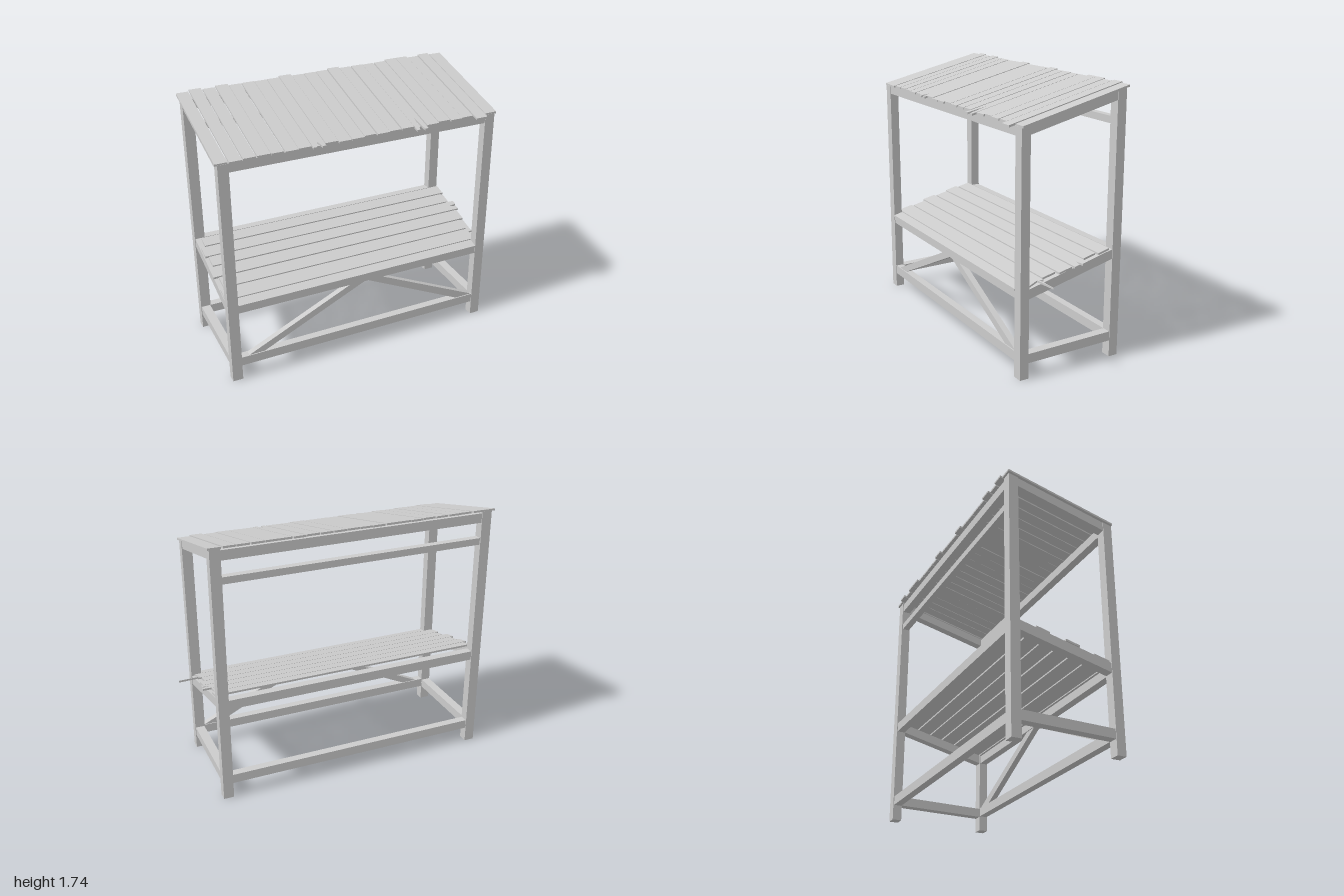
import * as THREE from 'three';

const SLOPE = 0.24; // rise towards the back, shared by roof and shelf
const XL = -0.95, XR = 0.855, HALF = 0.034; // post centres and half width
const INL = XL + HALF, INR = XR - HALF;
const FRONT = [0.295, 0.355], BACK = [-0.373, -0.31];

export function createModel() {
  const model = new THREE.Group();
  const mat = new THREE.MeshStandardMaterial({ color: 0xcccccc, flatShading: true });

  const add = (name, geo, parent = model) => {
    const mesh = new THREE.Mesh(geo, mat);
    mesh.name = name;
    parent.add(mesh);
    return mesh;
  };
  const shapeOf = (pts) => new THREE.Shape(pts.map(([a, b]) => new THREE.Vector2(a, b)));

  // Straight timber given by its limits
  const beam = (name, x0, x1, y0, y1, z0, z1) => {
    const g = new THREE.BoxGeometry(x1 - x0, y1 - y0, z1 - z0);
    g.translate((x0 + x1) / 2, (y0 + y1) / 2, (z0 + z1) / 2);
    return add(name, g);
  };
  // Side profile of [z, y] points extruded from x0 to x1
  const sideProfile = (name, x0, x1, pts) => {
    const g = new THREE.ExtrudeGeometry(shapeOf(pts.map(([z, y]) => [-z, y])), { depth: x1 - x0, bevelEnabled: false });
    g.rotateY(Math.PI / 2);
    g.translate(x0, 0, 0);
    return add(name, g);
  };
  // Plank from a plan outline of [x, z] points, sheared to follow the slope
  const plank = (name, pts, y, thick, parent) => {
    const g = new THREE.ExtrudeGeometry(shapeOf(pts.map(([x, z]) => [x, -z])), { depth: thick, bevelEnabled: false });
    g.rotateX(-Math.PI / 2);
    const p = g.attributes.position;
    for (let i = 0; i < p.count; i++) p.setY(i, p.getY(i) + y - SLOPE * p.getZ(i));
    g.computeVertexNormals();
    return add(name, g, parent);
  };

  // Posts with sloped tops, and the rails joining front to back
  const roofUnder = (z) => 1.633 - SLOPE * z;
  for (const [side, cx] of [['right', XL], ['left', XR]]) {
    const x0 = cx - HALF, x1 = cx + HALF;
    for (const [end, [z0, z1]] of [['Front', FRONT], ['Back', BACK]]) {
      sideProfile(side + end + 'Post', x0, x1, [[z0, 0], [z1, 0], [z1, roofUnder(z1)], [z0, roofUnder(z0)]]);
    }
    const zf = FRONT[0], zb = BACK[1];
    for (const [name, top] of [['RoofRail', 1.633], ['ShelfRail', 0.645]]) {
      sideProfile(side + name, x0 + 0.004, x1 - 0.004, [
        [zf, top - 0.062 - SLOPE * zf], [zf, top - SLOPE * zf],
        [zb, top - SLOPE * zb], [zb, top - 0.062 - SLOPE * zb]]);
    }
    sideProfile(side + 'BottomRail', x0 + 0.004, x1 - 0.004, [[zf, 0.1], [zf, 0.16], [zb, 0.17], [zb, 0.108]]);
  }

  // Long rails
  beam('frontRoofRail', INL, INR, 1.49, 1.55, 0.298, 0.351);
  beam('backRoofRail', INL, INR, 1.645, 1.708, -0.368, -0.315);
  beam('backHangingRail', INL, INR, 1.495, 1.54, -0.365, -0.318);
  beam('frontShelfRail', INL, INR, 0.51, 0.565, 0.298, 0.351);
  beam('backShelfRail', INL, INR, 0.655, 0.718, -0.368, -0.315);
  beam('frontBottomRail', INL, INR, 0.104, 0.166, 0.298, 0.351);
  beam('backBottomRail', INL, INR, 0.104, 0.166, -0.368, -0.315);

  // Diagonal front braces
  const braces = [
    ['rightBrace', [[-0.865, 0.164], [-0.76, 0.164], [-0.018, 0.512], [-0.126, 0.512]]],
    ['leftBrace', [[0.82, 0.166], [0.088, 0.512], [-0.018, 0.512], [0.7, 0.164]]],
  ];
  for (const [name, pts] of braces) {
    const g = new THREE.ExtrudeGeometry(shapeOf(pts), { depth: 0.04, bevelEnabled: false });
    g.translate(0, 0, 0.304);
    add(name, g);
  }

  // Roof planks: uneven ends, two of them split at the front
  const roof = new THREE.Group();
  roof.name = 'roof';
  model.add(roof);
  const longBack = [1, 3, 8, 12, 17, 18, 20];
  const frontEnds = { 1: 0.362, 5: 0.362, 7: 0.372, 9: 0.362, 10: 0.362, 12: 0.362, 15: 0.39, 16: 0.362, 18: 0.362, 20: 0.392 };
  const splits = { 7: 0.325, 15: 0.27 };
  const wideGap = [0, 1, 2, 4, 11, 13, 15, 19, 20];
  const count = 22, pitch = 1.905 / count;
  for (let i = 0; i < count; i++) {
    const x0 = -1 + i * pitch, x1 = x0 + pitch - (wideGap.includes(i) ? 0.008 : 0.003);
    const zb = longBack.includes(i) ? -0.397 : -0.384, zf = frontEnds[i] ?? 0.354;
    const c = (x0 + x1) / 2;
    const notch = i in splits
      ? [[c + 0.018, zf], [c + 0.012, zf - 0.02], [c + 0.002, splits[i]], [c - 0.014, zf - 0.015], [c - 0.018, zf]] : [];
    const lift = longBack.includes(i) ? 0.003 : (i % 3) * 0.001;
    plank('roofPlank', [[x0, zf], [x0, zb], [x1, zb], [x1, zf], ...notch], 1.63 + lift, 0.013, roof);
  }

  // Shelf planks: [front z, back z, right end x, left end x]
  const shelf = new THREE.Group();
  shelf.name = 'shelf';
  model.add(shelf);
  const rows = [
    [0.357, 0.292, INL, INR], [0.286, 0.185, -0.975, 0.87], [0.178, 0.088, -0.95, 0.85],
    [0.08, -0.012, -0.985, 0.885], [-0.02, -0.105, -0.955, 0.912], [-0.112, -0.2, -0.975, 0.86],
    [-0.208, -0.288, -0.945, 0.882],
  ];
  rows.forEach(([zf, zb, xa, xb], i) => {
    const zm = (zf + zb) / 2;
    let end = [[xb, zb], [xb, zf]];
    // Broken ends: a long splinter and a small split
    if (i === 1) end = [[xb, zb], [xb - 0.01, 0.205], [1, 0.2], [xb - 0.02, 0.215], [xb, zf]];
    if (i === 4) end = [[xb, zb], [xb, zm - 0.008], [xb - 0.06, zm], [xb - 0.008, zm + 0.01], [xb - 0.008, zf]];
    plank('shelfPlank', [[xa, zf], [xa, zb], ...end], 0.643 + i * 0.001, 0.013, shelf);
  });

  return model;
}
